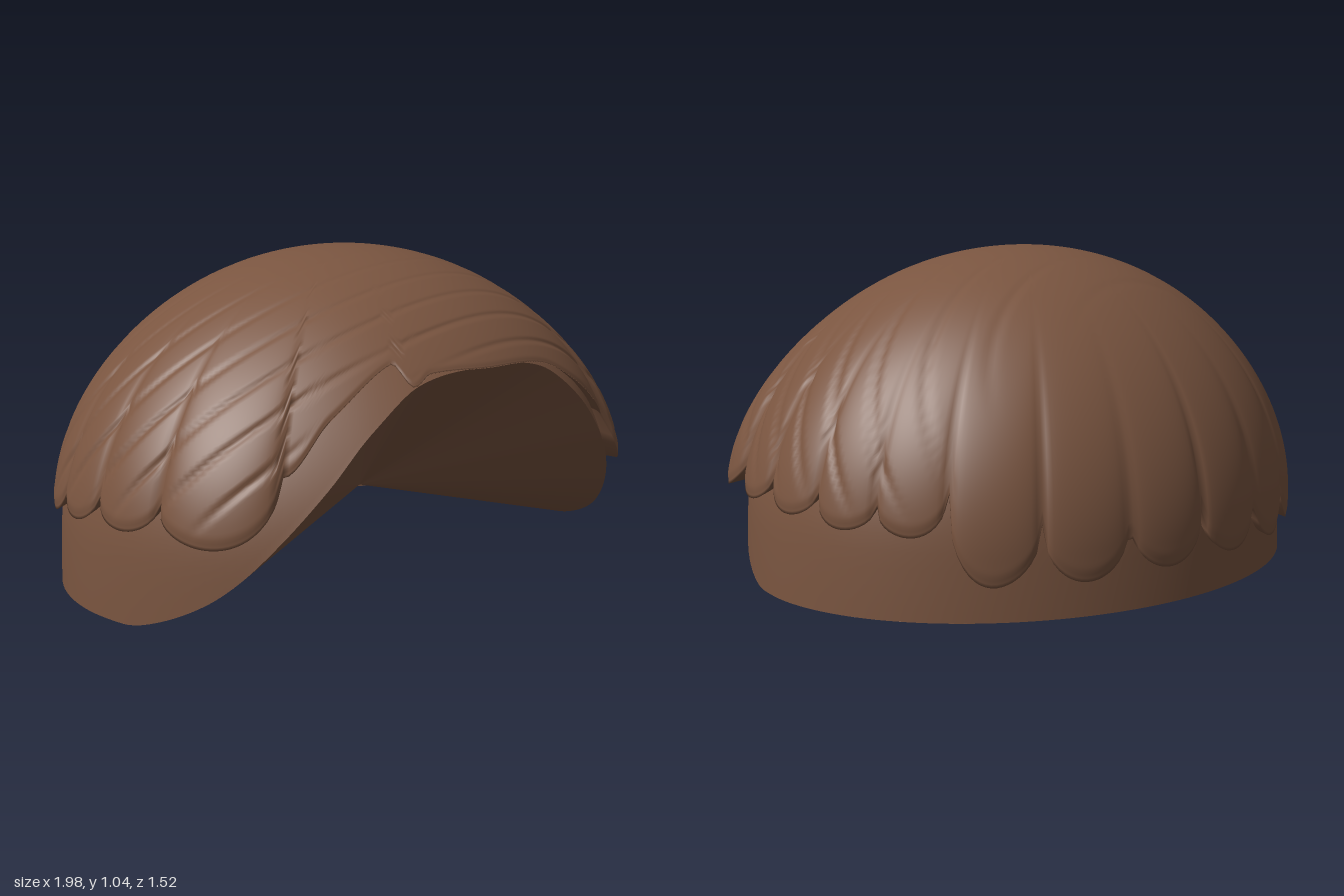
import * as THREE from 'three';

const hairBrown = new THREE.MeshStandardMaterial({ color: 0x7a5540, side: THREE.DoubleSide });
hairBrown.name = 'hairBrown';

const RX = 0.995, RY = 0.845, RZ_FRONT = 0.885, RZ_BACK = 0.825, CY = 0.2, CZ = 0.07;
const rad = THREE.MathUtils.degToRad;
const smooth = THREE.MathUtils.smoothstep;
const lerp = THREE.MathUtils.lerp;

// Point on the head ellipsoid: azimuth in degrees (0 front, 90 left), height, horizontal scale
function onHead(deg, y, s = 1) {
  const k = (y - CY) / RY * (y < CY ? 0.4 : 1);
  const r = Math.sqrt(Math.max(0, 1 - k * k)) * s;
  const c = Math.cos(rad(deg));
  return new THREE.Vector3(RX * r * Math.sin(rad(deg)), y, CZ + (c > 0 ? RZ_FRONT : RZ_BACK) * r * c);
}

// Smooth curve through [angle, height] knots, flat at its first knot
function knots(list, t) {
  const slope = i => i === 0 || i === list.length - 1 ? 0
    : (list[i + 1][1] - list[i - 1][1]) / (list[i + 1][0] - list[i - 1][0]);
  for (let i = 1; i < list.length; i++) {
    if (t > list[i][0]) continue;
    const [x0, y0] = list[i - 1], [x1, y1] = list[i];
    const d = x1 - x0, u = (t - x0) / d, w = 1 - u;
    return y0 * (1 + 2 * u) * w * w + y1 * u * u * (3 - 2 * u)
      + d * u * w * (slope(i - 1) * w - slope(i) * u);
  }
  return list[list.length - 1][1];
}

// Grid surface from point(deg, row), seamless normals when it closes on itself
function surface(name, from, to, cols, rows, point) {
  const pos = [], idx = [], closed = to - from === 360;
  const n = closed ? cols : cols + 1;
  for (let j = 0; j <= rows; j++) {
    for (let i = 0; i < n; i++) pos.push(...point(from + (to - from) * i / cols, j).toArray());
  }
  for (let j = 0; j < rows; j++) {
    for (let i = 0; i < cols; i++) {
      const k = (i + 1) % n;
      const a = j * n + i, b = j * n + k, c = a + n, d = b + n;
      idx.push(a, c, b, b, c, d);
    }
  }
  const g = new THREE.BufferGeometry();
  g.setAttribute('position', new THREE.Float32BufferAttribute(pos, 3));
  g.setIndex(idx);
  g.computeVertexNormals();
  const mesh = new THREE.Mesh(g, hairBrown);
  mesh.name = name;
  return mesh;
}

// Locks along the hem: start angle, end angle, notch heights at both ends, tip height, bulge
const LOCKS = [
  [48, 71, 0.47, 0.38, 0.28, 0.05], [71, 87, 0.38, 0.37, 0.29, 0.022],
  [87, 102, 0.37, 0.35, 0.28, 0.018], [102, 116, 0.35, 0.33, 0.26, 0.016],
  [116, 130, 0.33, 0.37, 0.25, 0.014], [130, 147, 0.37, 0.28, 0.11, 0.025],
  [147, 163.5, 0.28, 0.27, 0.11, 0.024], [163.5, 180, 0.27, 0.27, 0.12, 0.026],
];
const FRINGE_LEFT = [[0, 0.72], [20, 0.7], [33, 0.61], [42, 0.52], [48, 0.47]];
const FRINGE_RIGHT = [[0, 0.72], [17, 0.72], [22, 0.69], [26, 0.75], [40, 0.61], [48, 0.47]];

function hem(deg) {
  const a = Math.abs(deg);
  const lock = LOCKS.find(l => a >= l[0] && a <= l[1]);
  if (!lock) return { y: knots(deg < 0 ? FRINGE_RIGHT : FRINGE_LEFT, a), bulge: 0 };
  const t = (a - lock[0]) / (lock[1] - lock[0]);
  const arch = Math.sqrt(Math.max(0, 1 - (2 * t - 1) ** 2));
  const notch = lerp(lock[2], lock[3], t);
  return { y: notch + (lock[4] - notch) * arch, bulge: lock[5] * arch };
}

// Front edge of the scalp, dropping from the brow to the flat bottom
const RIM = [[0, 0.72], [20, 0.69], [32, 0.57], [40, 0.43], [48, 0.29], [55, 0.18],
  [62, 0.1], [72, 0.03], [81, 0]];
const rimY = deg => knots(RIM, Math.min(81, Math.abs(deg)));
const scalpScale = deg => 0.98 - 0.025 * Math.max(0, Math.cos(rad(deg)));

export function createModel() {
  const group = new THREE.Group();
  group.name = 'hair';

  // Combed outer hair: crown to hem, then folded under
  const ROWS = 130;
  group.add(surface('combedHair', -180, 180, 360, ROWS + 2, (deg, j) => {
    const h = hem(deg);
    if (j > ROWS) return onHead(deg, h.y + (j - ROWS) * 0.012, j === ROWS + 1 ? 0.97 : 0.945);
    const v = j / ROWS;
    const theta = Math.acos((h.y - CY) / RY) * v;
    const y = CY + RY * Math.cos(theta);
    const p = onHead(deg, y);
    // strand seams sweeping across the head
    const f = (p.z - 0.6 * p.y + 0.05 * Math.sin(3 * p.x)) / 0.13;
    const seam = Math.max(0, 1 - Math.abs(f - Math.round(f)) * 7);
    const fade = smooth(p.z, -0.5, -0.2) * smooth(v, 0.1, 0.3) * (1 - smooth(v, 0.85, 1));
    const s = 0.987 + h.bulge * smooth(v, 0.35, 0.95) - 0.01 * seam * fade;
    return onHead(deg, y, s - 0.006 * smooth(v, 0.97, 1));
  }));

  // Smooth scalp below the locks
  group.add(surface('scalp', -180, 180, 180, 16, (deg, j) =>
    onHead(deg, lerp(0.82, rimY(deg), j / 16), lerp(0.935, scalpScale(deg), j / 16))));

  // Hollow: front and rear faces meeting at a central point
  const apex = new THREE.Vector3(0, 0.25, 0.17);
  group.add(surface('frontHollow', -81, 81, 100, 8, (deg, j) =>
    onHead(deg, rimY(deg), scalpScale(deg)).lerp(apex, j / 8)));

  const inner = deg => {
    const p = onHead(deg, 0, 0.98);
    const y = p.z > CZ ? 0 : 0.15 * Math.max(0, 1 - (p.x / 0.96) ** 2);
    return onHead(deg, y, 0.968);
  };
  group.add(surface('rearInnerWall', 81, 279, 80, 1, (deg, j) =>
    j === 0 ? onHead(deg, 0, scalpScale(deg)) : inner(deg)));
  group.add(surface('rearHollow', 81, 279, 80, 8, (deg, j) => inner(deg).lerp(apex, j / 8)));

  return group;
}
